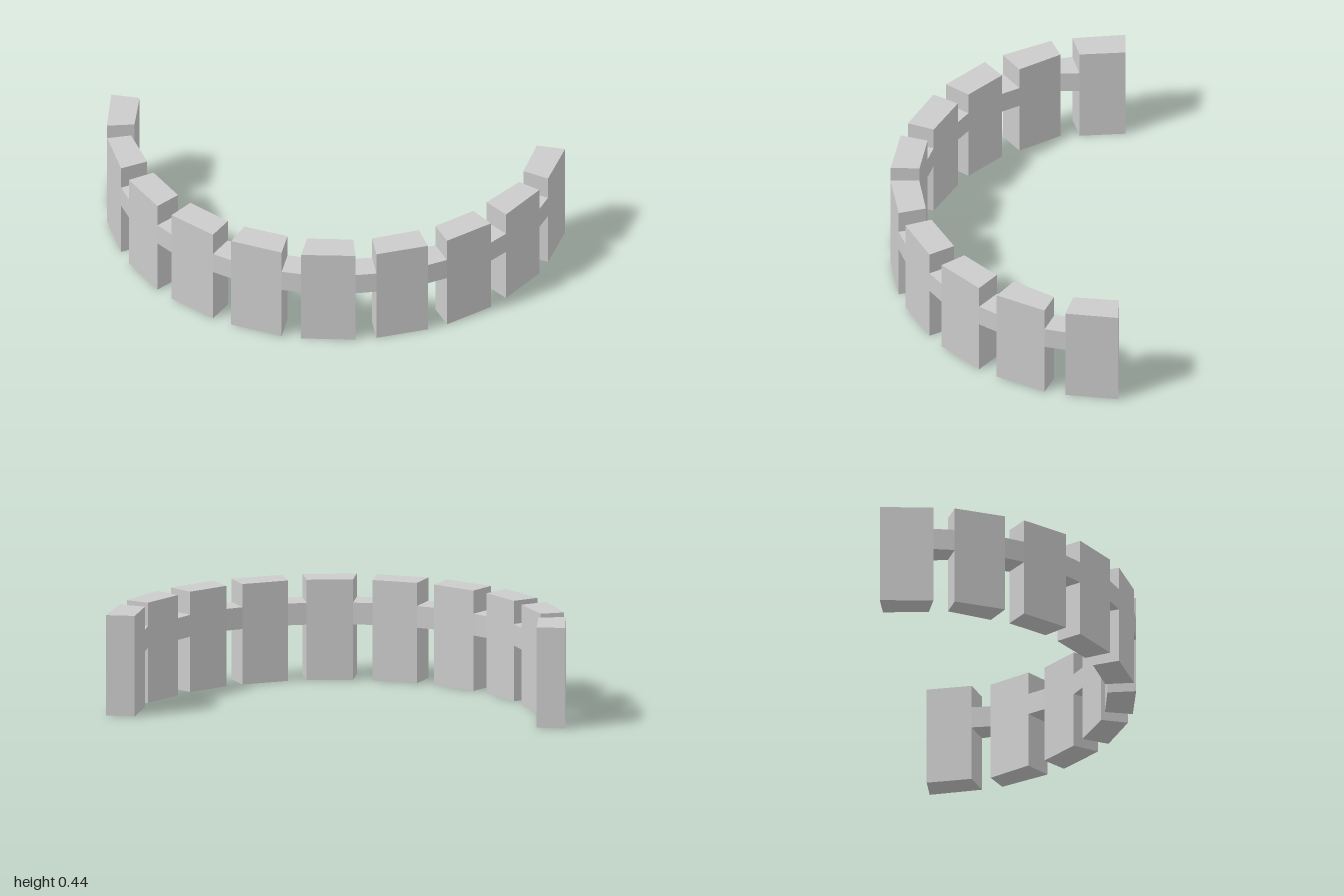
import * as THREE from 'three';

// Joints along the curved band on the +x half: [outer x, outer z, inner x, inner z].
// They alternate between the start and the end of each block.
const HALF = [
  [0.043, 0.50, 0.043, 0.375],
  [0.274, 0.46, 0.24, 0.343],
  [0.36, 0.43, 0.318, 0.318],
  [0.565, 0.323, 0.503, 0.217],
  [0.638, 0.27, 0.567, 0.172],
  [0.798, 0.105, 0.705, 0.03],
  [0.848, 0.028, 0.748, -0.045],
  [0.952, -0.18, 0.855, -0.22],
  [0.972, -0.27, 0.857, -0.303],
  [1.0, -0.5, 0.875, -0.5],
];
const HEIGHT = 0.443;
const LINK_BOTTOM = 0.245, LINK_TOP = 0.341;

// Upright prism standing between two neighbouring joints
function prism(a, b, y0, y1) {
  const shape = new THREE.Shape([
    new THREE.Vector2(a[0], -a[1]),
    new THREE.Vector2(b[0], -b[1]),
    new THREE.Vector2(b[2], -b[3]),
    new THREE.Vector2(a[2], -a[3]),
  ]);
  const geometry = new THREE.ExtrudeGeometry(shape, { depth: y1 - y0, bevelEnabled: false });
  return geometry.rotateX(-Math.PI / 2).translate(0, y0, 0);
}

export function createModel() {
  const group = new THREE.Group();
  group.name = 'curvedBlockWall';
  const material = new THREE.MeshStandardMaterial({ color: 0xcccccc, flatShading: true });

  // Mirror the joints so they run from the right end round to the left end
  const mirrored = HALF.map(([ox, oz, ix, iz]) => [-ox, oz, -ix, iz]).reverse();
  const joints = [...mirrored, ...HALF];

  // Tall blocks alternate with low connecting links
  for (let i = 0; i < joints.length - 1; i++) {
    const isBlock = i % 2 === 0;
    const y0 = isBlock ? 0 : LINK_BOTTOM;
    const y1 = isBlock ? HEIGHT : LINK_TOP;
    const mesh = new THREE.Mesh(prism(joints[i], joints[i + 1], y0, y1), material);
    mesh.name = (isBlock ? 'block' : 'link') + (Math.floor(i / 2) + 1);
    group.add(mesh);
  }
  return group;
}
